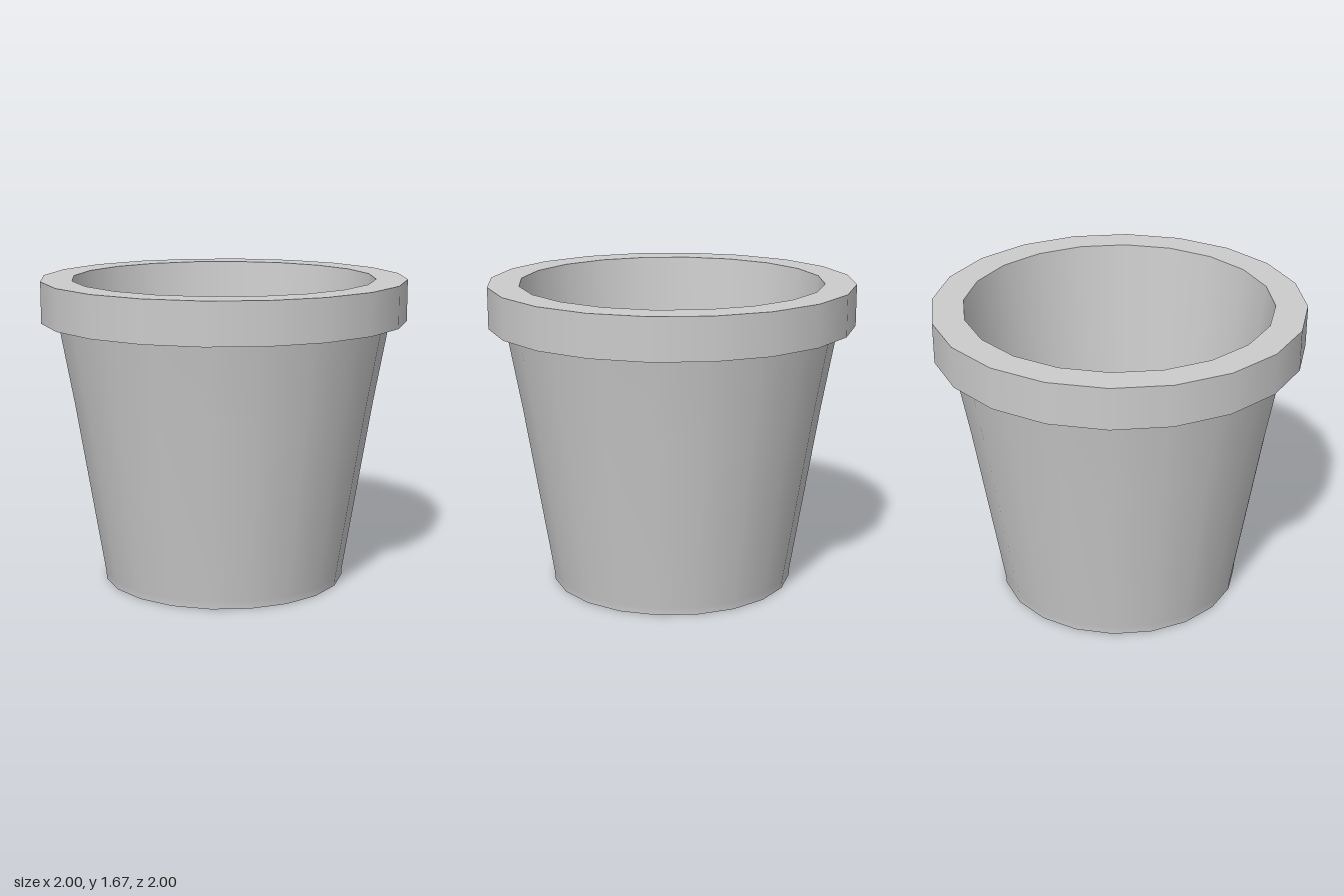
import * as THREE from 'three';

const SIDES = 20;

export function createModel() {
  const pot = new THREE.Group();
  pot.name = 'flowerPot';
  const material = new THREE.MeshStandardMaterial({ color: 0xcccccc });

  // Each section is its own lathe, so edges between sections stay sharp
  const addSection = (name, profile) => {
    const points = profile.map(([r, y]) => new THREE.Vector2(r, y));
    const mesh = new THREE.Mesh(new THREE.LatheGeometry(points, SIDES), material);
    mesh.name = name;
    pot.add(mesh);
  };

  // Profiles run from the base centre, up the outside, over the rim and down inside
  addSection('base', [[0, 0], [0.67, 0]]);
  addSection('outerWall', [[0.67, 0], [0.672, 0.04], [0.827, 1], [0.908, 1.45]]);
  addSection('rimUnderside', [[0.908, 1.45], [1, 1.45]]);
  addSection('rimBand', [[1, 1.45], [1, 1.675]]);
  addSection('rimTop', [[1, 1.675], [0.83, 1.675]]);
  addSection('innerWall', [[0.83, 1.675], [0.758, 1], [0.663, 0.07]]);
  addSection('innerFloor', [[0.663, 0.07], [0, 0.07]]);

  return pot;
}
